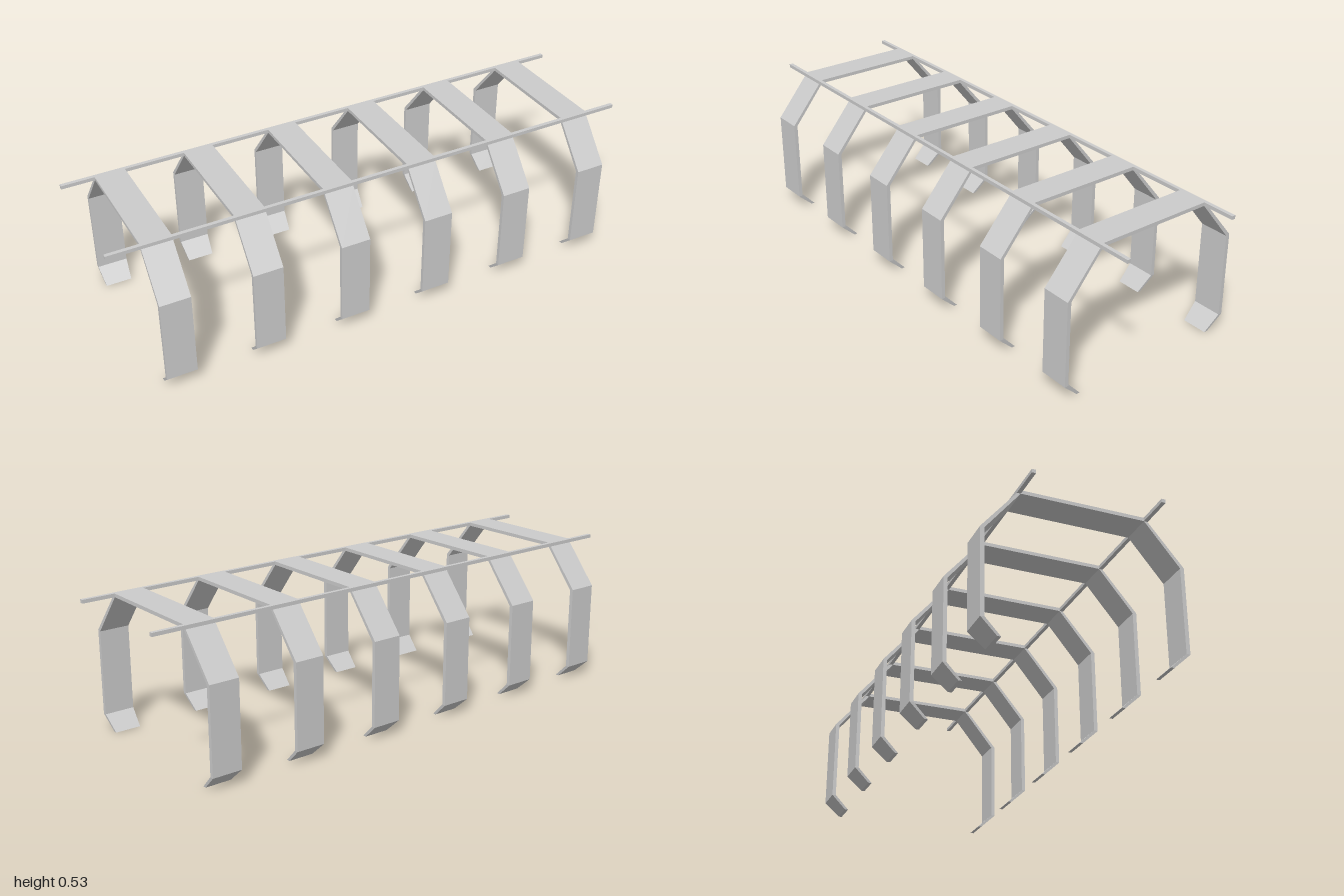
import * as THREE from 'three';

const RIB_WIDTH = 0.11;
const material = new THREE.MeshStandardMaterial({ color: 0xcccccc, flatShading: true });

// Extrudes a (z, y) outline across x, centred on x = 0
function strip(points) {
  const shape = new THREE.Shape(points.map(([z, y]) => new THREE.Vector2(z, y)));
  const geo = new THREE.ExtrudeGeometry(shape, { depth: RIB_WIDTH, bevelEnabled: false });
  return geo.translate(0, 0, -RIB_WIDTH / 2).rotateY(-Math.PI / 2);
}

function addMesh(parent, name, geo, x = 0, y = 0, z = 0) {
  const mesh = new THREE.Mesh(geo, material);
  mesh.name = name;
  mesh.position.set(x, y, z);
  parent.add(mesh);
}

export function createModel() {
  const model = new THREE.Group();
  model.name = 'ribbedFrame';

  // Bent leg: sloping shoulder and upright
  const legGeo = strip([
    [0.218, 0.515], [0.341, 0.363], [0.341, 0.054],
    [0.355, 0.053], [0.355, 0.366], [0.231, 0.515],
  ]);

  // Inturned foot, slightly narrower at its tip
  const footGeo = strip([[0.341, 0.054], [0.285, 0], [0.298, 0], [0.355, 0.053]]);
  const pos = footGeo.attributes.position;
  for (let i = 0; i < pos.count; i++) {
    if (pos.getY(i) < 0.02) pos.setX(i, pos.getX(i) * 0.87);
  }
  footGeo.computeVertexNormals();

  const crossbarGeo = new THREE.BoxGeometry(RIB_WIDTH, 0.013, 0.436);

  // Six ribs, each with a crossbar and a mirrored pair of legs
  for (let i = 0; i < 6; i++) {
    const rib = new THREE.Group();
    rib.name = `rib${i + 1}`;
    rib.position.x = (i - 2.5) * 0.33;
    addMesh(rib, 'crossbar', crossbarGeo, 0, 0.5215, 0);
    for (const side of ['front', 'back']) {
      const half = new THREE.Group();
      half.name = `${side}Leg`;
      half.rotation.y = side === 'back' ? Math.PI : 0;
      addMesh(half, 'leg', legGeo);
      addMesh(half, 'foot', footGeo);
      rib.add(half);
    }
    model.add(rib);
  }

  // Long rails tying the ribs together
  const railGeo = new THREE.BoxGeometry(2, 0.013, 0.014);
  addMesh(model, 'frontRail', railGeo, 0, 0.5215, 0.225);
  addMesh(model, 'backRail', railGeo, 0, 0.5215, -0.225);

  return model;
}
